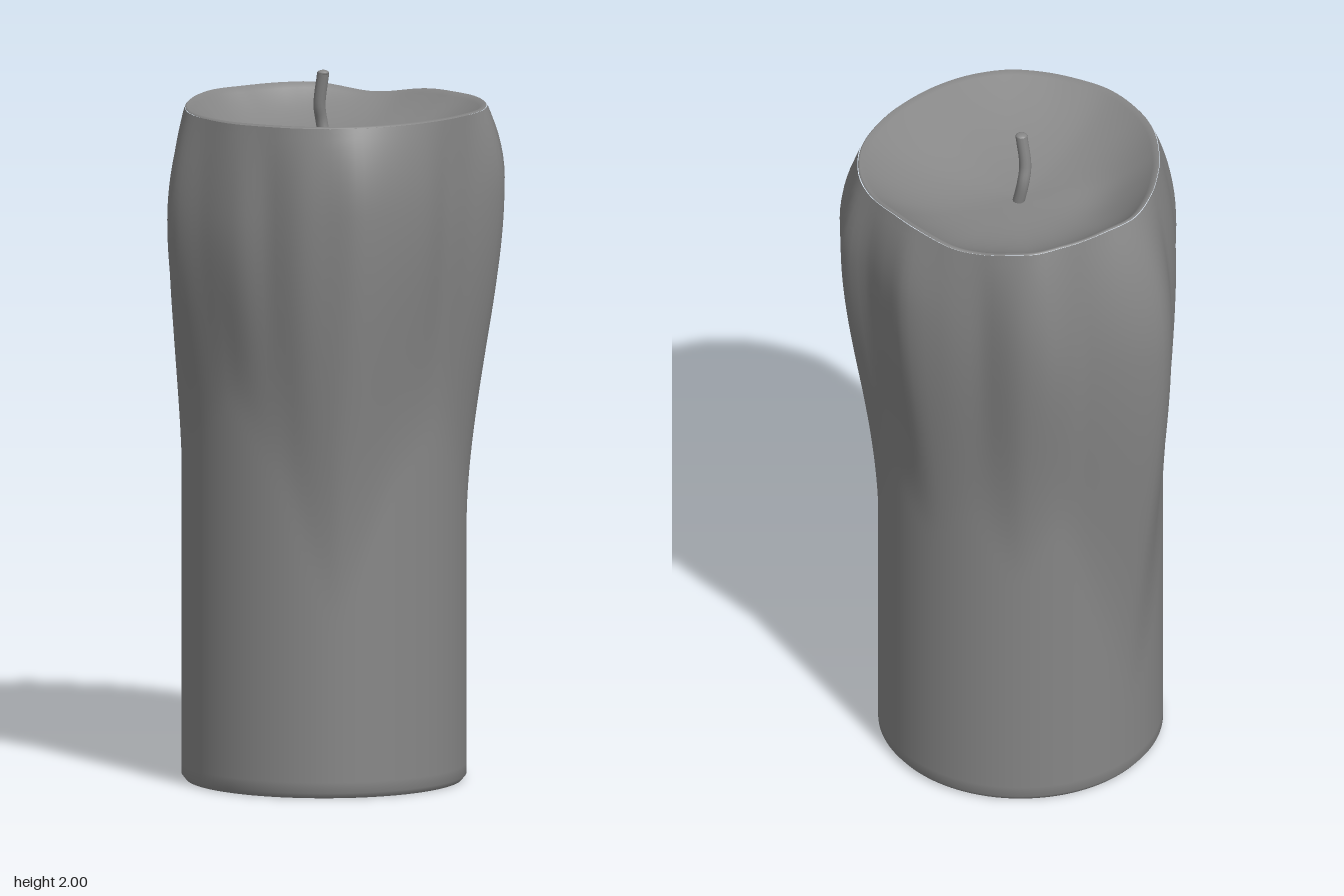
import * as THREE from 'three';

const CX = 0.025, CZ = 0.01, BASE_R = 0.398, RIM_Y = 1.905, COLS = 128;
const rad = THREE.MathUtils.degToRad;

// plan outline [x, z] turned into a list of [angle, radius] about the candle axis
const polar = (points) => points
  .map(([x, z]) => [(Math.atan2(z - CZ, x - CX) + Math.PI * 2) % (Math.PI * 2), Math.hypot(x - CX, z - CZ)])
  .sort((p, q) => p[0] - q[0]);

// widest extent of the melted wax
const bulge = polar([
  [0.47, 0.01], [0.482, 0.1], [0.465, 0.2], [0.41, 0.32], [0.34, 0.37], [0.27, 0.412], [0.17, 0.43],
  [0.09, 0.46], [-0.05, 0.457], [-0.16, 0.445], [-0.2, 0.42], [-0.27, 0.33], [-0.39, 0.16], [-0.48, 0.04],
  [-0.48, -0.02], [-0.37, -0.2], [-0.33, -0.31], [-0.27, -0.36], [-0.15, -0.385], [-0.03, -0.44],
  [0.07, -0.465], [0.14, -0.445], [0.24, -0.41], [0.34, -0.395], [0.4, -0.32], [0.46, -0.25], [0.465, -0.1],
]);
// edge of the melted pool
const rim = polar([
  [0.457, 0.05], [0.44, 0.15], [0.4, 0.25], [0.33, 0.34], [0.25, 0.39], [0.15, 0.425], [0.05, 0.44],
  [-0.05, 0.42], [-0.13, 0.385], [-0.23, 0.3], [-0.305, 0.2], [-0.355, 0.1], [-0.38, 0], [-0.36, -0.1],
  [-0.31, -0.24], [-0.275, -0.3], [-0.2, -0.345], [-0.13, -0.375], [-0.05, -0.405], [0.05, -0.41],
  [0.15, -0.395], [0.25, -0.37], [0.34, -0.31], [0.42, -0.2], [0.453, -0.08],
]);
// height where the drips die out, by angle in degrees
const dripEnd = [
  [0, 1.0], [22, 0.85], [45, 0.5], [65, 0.85], [90, 1.1], [115, 0.95], [140, 0.9], [165, 0.4], [180, 0.25],
  [198, 0.55], [215, 0.9], [232, 0.75], [250, 0.95], [270, 0.85], [290, 0.95], [318, 0.7], [340, 0.9],
].map(([d, h]) => [rad(d), h]);
// height where the drips are widest
const dripPeak = [[0, 1.68], [60, 1.65], [120, 1.6], [180, 1.47], [230, 1.6], [290, 1.68]]
  .map(([d, h]) => [rad(d), h]);

// closed, smoothed lookup in an [angle, value] list
function sample(list, angle) {
  const full = Math.PI * 2, n = list.length;
  let a = ((angle % full) + full) % full;
  if (a < list[0][0]) a += full;
  let i = n - 1;
  while (list[i][0] > a) i--;
  const at = (k) => list[(k + n) % n][1];
  const next = i + 1 < n ? list[i + 1][0] : list[0][0] + full;
  const t = (a - list[i][0]) / (next - list[i][0]);
  const [p0, p1, p2, p3] = [at(i - 1), at(i), at(i + 1), at(i + 2)];
  const curved = p1 + 0.5 * t * (p2 - p0 + t * (2 * p0 - 5 * p1 + 4 * p2 - p3 + t * (3 * (p1 - p2) + p3 - p0)));
  return THREE.MathUtils.lerp(THREE.MathUtils.lerp(p1, p2, t), curved, 0.6);
}

// the rim sags a little at the back
const sag = (a) => 0.025 * Math.exp(-(((a - rad(250)) / 0.3) ** 2));

// skin of rings: ringPoint(row, angle) returns [radius, y]
function rings(rows, ringPoint) {
  const pos = [], idx = [];
  for (let i = 0; i < rows; i++) {
    for (let j = 0; j < COLS; j++) {
      const a = (j / COLS) * Math.PI * 2, [r, y] = ringPoint(i, a);
      pos.push(CX + r * Math.cos(a), y, CZ + r * Math.sin(a));
      if (i === rows - 1) continue;
      const p = i * COLS + j, q = i * COLS + (j + 1) % COLS;
      idx.push(p, p + COLS, q, q, p + COLS, q + COLS);
    }
  }
  const g = new THREE.BufferGeometry();
  g.setAttribute('position', new THREE.Float32BufferAttribute(pos, 3));
  g.setIndex(idx);
  g.computeVertexNormals();
  return g;
}

// radius of the wax side at a height and angle
function sideRadius(y, a) {
  const peak = sample(dripPeak, a), wide = sample(bulge, a);
  if (y < peak) {
    return THREE.MathUtils.lerp(BASE_R, wide, THREE.MathUtils.smoothstep(y, sample(dripEnd, a), peak));
  }
  const s = (y - peak) / (RIM_Y - peak);
  return THREE.MathUtils.lerp(wide, sample(rim, a) + 0.005, s * s);
}

export function createModel() {
  const model = new THREE.Group();
  const material = new THREE.MeshStandardMaterial({ color: 0x868686 });
  const add = (name, geometry) => {
    const mesh = new THREE.Mesh(geometry, material);
    mesh.name = name;
    model.add(mesh);
    return mesh;
  };

  // side wall with a small bevel at the foot and melted drips above
  const rows = 64;
  add('waxBody', rings(rows, (i, a) => {
    if (i === 0) return [BASE_R - 0.012, 0];
    const t = (i - 1) / (rows - 2), y = 0.015 + (RIM_Y - 0.02) * t;
    return [sideRadius(y, a), y - sag(a) * t ** 6];
  }));

  // flat underside
  add('underside', rings(2, (i) => [i * (BASE_R - 0.012), 0]));

  // melted pool: rounded lip, then an uneven hollow that is steeper at the left and back
  const poolRows = 30;
  add('meltedPool', rings(poolRows, (i, a) => {
    const edge = sample(rim, a);
    if (i === 0) return [edge + 0.005, RIM_Y - 0.005 - sag(a)];
    const s = 1 - (i - 1) / (poolRows - 2);
    const steep = 2.6 + 1.1 * Math.cos(a - rad(210));
    const r = edge * s;
    const hollow = 0.03 * Math.exp(-((r * Math.cos(a) + 0.22) ** 2 + (r * Math.sin(a) - 0.12) ** 2) / 0.01) * (1 - s);
    const ripple = 0.03 * Math.sin(3 * a + 0.6) * s * s * (1 - s);
    return [r, RIM_Y - 0.12 * (1 - s ** steep) - hollow + ripple - sag(a) * s ** 4];
  }));

  // bent wick with a blunt tip
  const path = new THREE.CatmullRomCurve3([
    new THREE.Vector3(0.027, 1.76, -0.004), new THREE.Vector3(0.008, 1.85, 0),
    new THREE.Vector3(0.01, 1.9, 0.012), new THREE.Vector3(0.026, 1.992, 0.015),
  ]);
  add('wick', new THREE.TubeGeometry(path, 20, 0.017, 12, false));
  const tip = add('wickTip', new THREE.SphereGeometry(0.017, 12, 8));
  tip.scale.y = 0.47;
  tip.position.set(0.026, 1.992, 0.015);

  return model;
}
